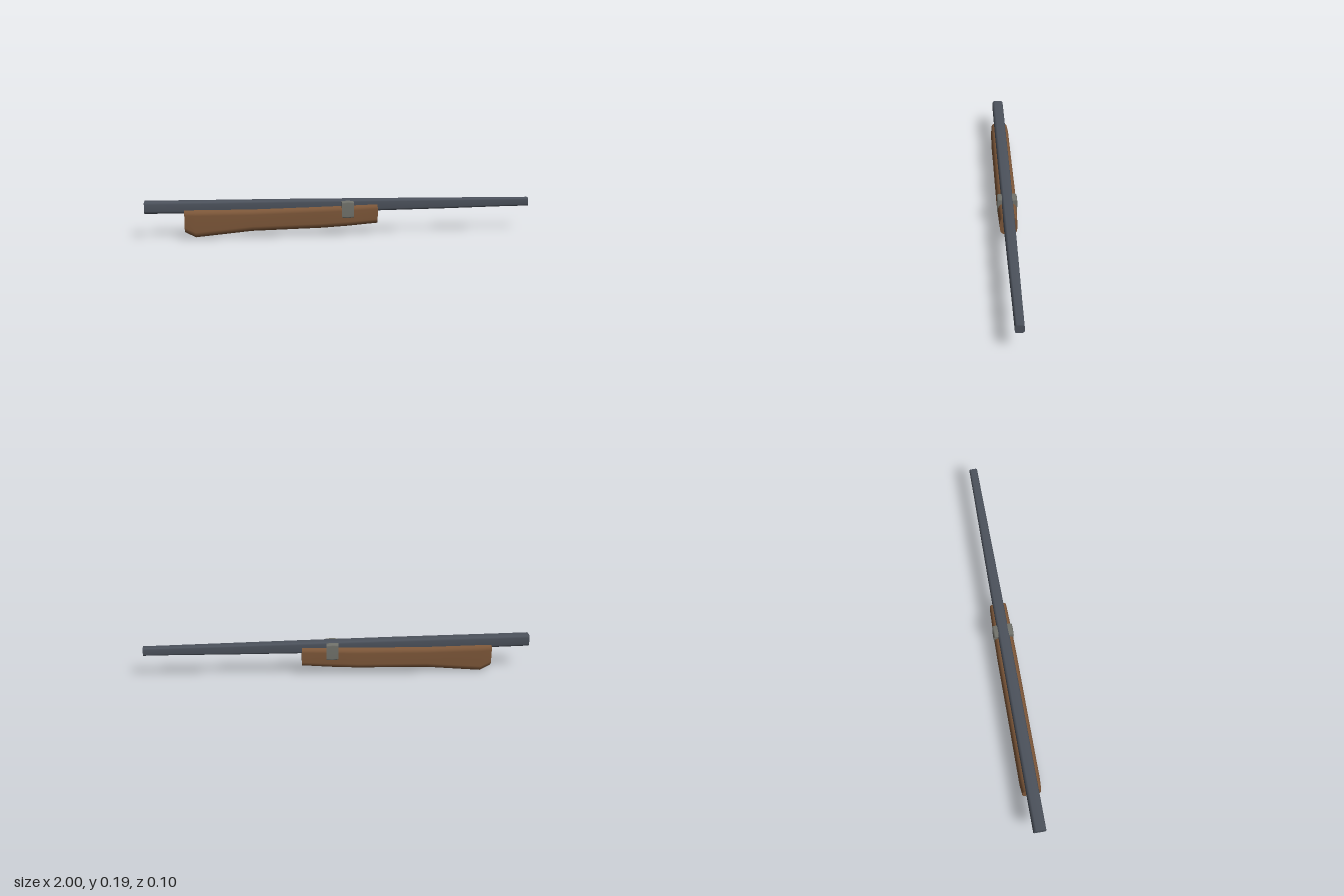
import * as THREE from 'three';

const mat = (name, color) => {
  const m = new THREE.MeshStandardMaterial({ color });
  m.name = name;
  return m;
};

// Rounded-rectangle outline in the z/y plane, counterclockwise seen from +x
function outline({ w, y0, y1, r }, segs) {
  const points = [];
  const corners = [[w - r, y1 - r], [r - w, y1 - r], [r - w, y0 + r], [w - r, y0 + r]];
  corners.forEach(([u, v], k) => {
    for (let i = 0; i <= segs; i++) {
      const a = (k + i / segs) * Math.PI / 2;
      points.push([-(u + r * Math.cos(a)), v + r * Math.sin(a)]);
    }
  });
  return points;
}

// Skin a row of cross-sections along x, with flat end caps
function loft(name, material, sections, segs) {
  const rings = sections.map(s => outline(s, segs).map(([z, y]) => [s.x, y, z]));
  const n = rings[0].length, last = rings.length - 1;
  const pos = rings.flat(2), index = [];
  for (let i = 0; i < last; i++) {
    for (let j = 0; j < n; j++) {
      const a = i * n + j, b = i * n + (j + 1) % n;
      index.push(a, b, a + n, b, b + n, a + n);
    }
  }
  for (const end of [0, last]) {
    const base = pos.length / 3;
    pos.push(...rings[end].flat());
    for (let j = 1; j < n - 1; j++) {
      if (end) index.push(base, base + j, base + j + 1);
      else index.push(base, base + j + 1, base + j);
    }
  }
  const geo = new THREE.BufferGeometry();
  geo.setAttribute('position', new THREE.Float32BufferAttribute(pos, 3));
  geo.setIndex(index);
  geo.computeVertexNormals();
  const mesh = new THREE.Mesh(geo, material);
  mesh.name = name;
  return mesh;
}

export function createModel() {
  const steel = mat('blued steel', 0x4c525c);
  const wood = mat('brown wood', 0x7d5739);
  const grey = mat('grey metal', 0x72736c);
  const group = new THREE.Group();
  group.name = 'barrelAssembly';

  // Long tapering barrel
  group.add(loft('barrel', steel, [
    { x: -1, w: 0.031, y0: 0.129, y1: 0.191, r: 0.014 },
    { x: -0.8, w: 0.031, y0: 0.126, y1: 0.189, r: 0.014 },
    { x: -0.3, w: 0.030, y0: 0.121, y1: 0.186, r: 0.013 },
    { x: 0.2, w: 0.028, y0: 0.121, y1: 0.181, r: 0.012 },
    { x: 0.55, w: 0.025, y0: 0.124, y1: 0.177, r: 0.011 },
    { x: 0.84, w: 0.022, y0: 0.128, y1: 0.174, r: 0.010 },
    { x: 1, w: 0.021, y0: 0.129, y1: 0.172, r: 0.009 },
  ], 2));

  // Wooden fore-end under the barrel, deepest near the back
  group.add(loft('foreEnd', wood, [
    { x: -0.8, w: 0.046, y0: 0.03, y1: 0.147, r: 0.027 },
    { x: -0.745, w: 0.05, y0: 0.002, y1: 0.147, r: 0.030 },
    { x: -0.46, w: 0.05, y0: 0.029, y1: 0.144, r: 0.028 },
    { x: -0.1, w: 0.05, y0: 0.037, y1: 0.150, r: 0.027 },
    { x: 0.03, w: 0.048, y0: 0.044, y1: 0.153, r: 0.026 },
    { x: 0.19, w: 0.043, y0: 0.056, y1: 0.157, r: 0.024 },
  ], 4));

  // Metal band clasping both sides of the fore-end
  group.add(loft('band', grey, [
    { x: 0.002, w: 0.051, y0: 0.09, y1: 0.175, r: 0.009 },
    { x: 0.033, w: 0.052, y0: 0.088, y1: 0.178, r: 0.009 },
    { x: 0.064, w: 0.051, y0: 0.09, y1: 0.175, r: 0.009 },
  ], 2));

  return group;
}
